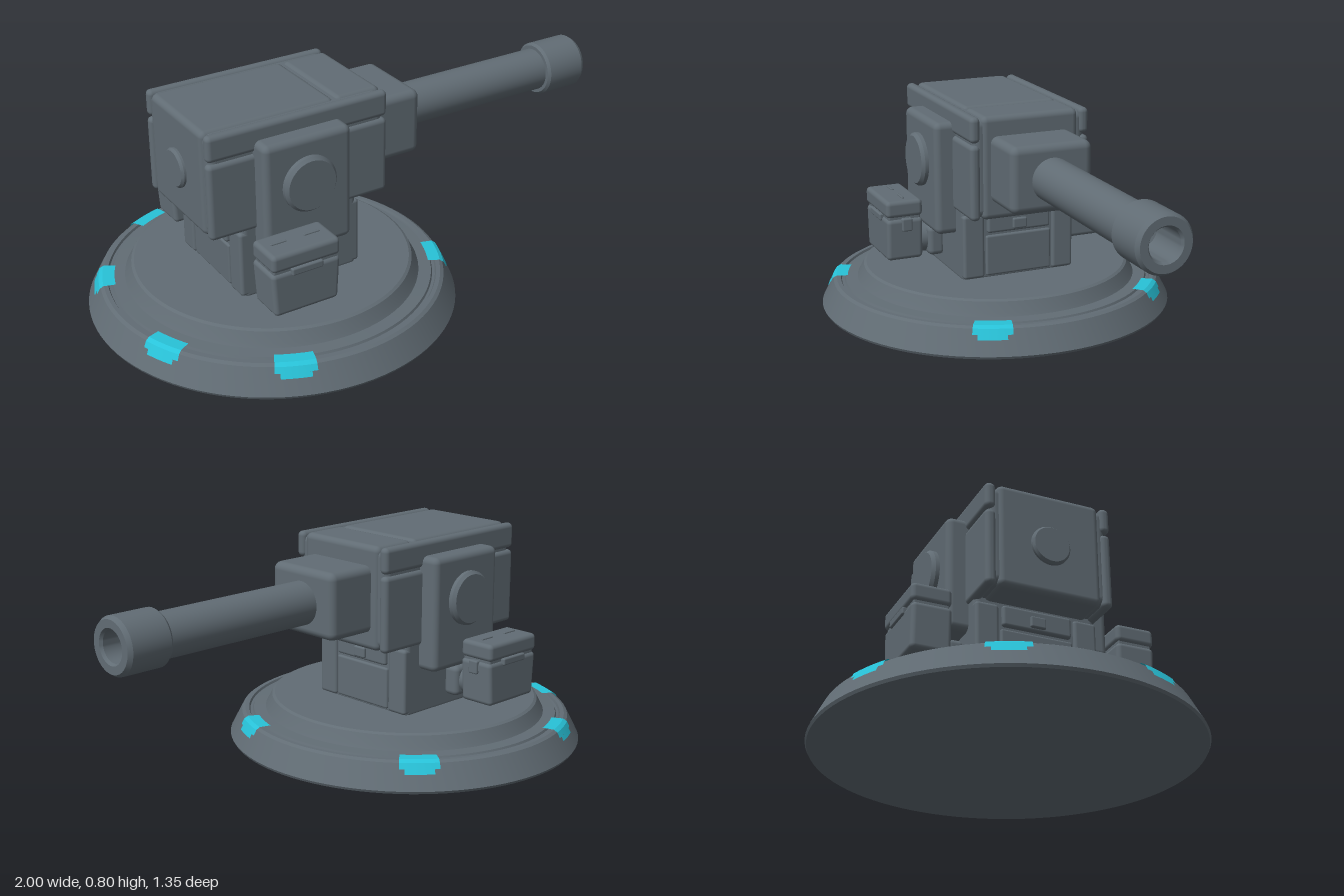
import * as THREE from 'three';
import { toCreasedNormals } from 'three/addons/utils/BufferGeometryUtils.js';
import { RoundedBoxGeometry } from 'three/addons/geometries/RoundedBoxGeometry.js';

export function createModel() {
  const root = new THREE.Group();
  root.name = 'turret';
  const steel = new THREE.MeshStandardMaterial({ color: 0x616c74 });
  steel.name = 'steel grey';
  const cyan = new THREE.MeshStandardMaterial({ color: 0x28c2d8 });
  cyan.name = 'cyan light';

  const add = (name, geo, mat = steel, parent = root) => {
    const mesh = new THREE.Mesh(geo, mat);
    mesh.name = name;
    parent.add(mesh);
    return mesh;
  };
  // Rounded box given by its extents on each axis
  const box = (name, [x0, x1], [y0, y1], [z0, z1], r = 0.02, parent = root) => {
    const geo = new RoundedBoxGeometry(x1 - x0, y1 - y0, z1 - z0, 3, r);
    geo.translate((x0 + x1) / 2, (y0 + y1) / 2, (z0 + z1) / 2);
    return add(name, geo, steel, parent);
  };
  const lathe = (pts, seg = 64, start = 0, len = Math.PI * 2) => toCreasedNormals(
    new THREE.LatheGeometry(pts.map(p => new THREE.Vector2(...p)), seg, start, len), 0.5);
  // Domed disc standing on y = 0
  const disc = (r, h) => lathe([[0, 0], [r, 0], [r, h * 0.6], [r * 0.9, h], [0, h]], 40);

  // Round stepped base
  const base = new THREE.Group();
  base.name = 'base';
  base.position.x = -0.34;
  base.scale.z = 1.02;
  root.add(base);
  add('basePlate', lathe([
    [0, 0], [0.655, 0], [0.66, 0.01], [0.615, 0.098], [0.603, 0.105], [0.588, 0.105],
    [0.584, 0.097], [0.574, 0.097], [0.57, 0.105], [0.525, 0.108], [0.518, 0.12],
    [0.5, 0.157], [0.49, 0.163], [0, 0.163],
  ], 96), steel, base);

  // Lights wrapped over the rim: wide band above, narrow tab below
  for (const deg of [23, 113, 156, 204, 247, 312]) {
    const phi = THREE.MathUtils.degToRad(90 - deg);
    const patch = (name, pts, width) => {
      const w = THREE.MathUtils.degToRad(width);
      add(name, lathe(pts, 8, phi - w / 2, w), cyan, base).material.side = THREE.DoubleSide;
    };
    patch('rimLight', [[0.629, 0.08], [0.619, 0.1], [0.605, 0.109], [0.562, 0.109]], 13);
    patch('rimLightTab', [[0.637, 0.064], [0.629, 0.08]], 9.5);
  }

  // Pedestal with end panels and brackets
  box('pedestal', [-0.57, -0.12], [0.15, 0.46], [-0.22, 0.22], 0.02);
  for (const s of [1, -1]) {
    const end = new THREE.Group();
    end.name = 'pedestalEnd';
    end.position.x = -0.345;
    end.rotation.y = s > 0 ? 0 : Math.PI;
    root.add(end);
    box('endPanel', [0.2, 0.234], [0.17, 0.325], [-0.13, 0.13], 0.008, end);
    box('endBracket', [0.2, 0.24], [0.335, 0.41], [-0.125, 0.125], 0.01, end);
    box('endLatch', [0.22, 0.25], [0.345, 0.385], [-0.028, 0.028], 0.006, end);
    for (const z of [-1, 1])
      box('endCorner', [0.19, 0.236], [0.165, 0.41], [z * 0.178 - 0.042, z * 0.178 + 0.042], 0.012, end);
  }

  // Turret body: inner core with panels separated by narrow seams
  box('bodyCore', [-0.682, -0.008], [0.428, 0.792], [-0.218, 0.218], 0.03);
  box('bodyRear', [-0.69, -0.183], [0.42, 0.8], [-0.187, 0.187], 0.022);
  box('bodyFront', [-0.179, 0], [0.42, 0.8], [-0.187, 0.187], 0.022);
  for (const s of [1, -1]) {
    const z = s > 0 ? [0.192, 0.23] : [-0.23, -0.192];
    box('sideUpperPanel', [-0.69, 0], [0.706, 0.8], z, 0.017);
    box('sideLowerPanel', [-0.69, 0], [0.42, 0.698], z, 0.017);
  }
  const rearCap = add('rearCap', disc(0.07, 0.022));
  rearCap.rotation.z = Math.PI / 2;
  rearCap.position.set(-0.685, 0.6, 0);

  // Gun mantlet, barrel and bored muzzle
  box('mantlet', [-0.05, 0.19], [0.485, 0.728], [-0.155, 0.155], 0.028);
  const gun = add('barrel', lathe([
    [0, 0.1], [0.079, 0.1], [0.079, 0.825], [0.092, 0.825], [0.1, 0.835], [0.1, 0.985],
    [0.09, 1], [0.062, 1], [0.055, 0.99], [0.055, 0.84], [0, 0.82],
  ], 48));
  gun.rotation.z = -Math.PI / 2;
  gun.position.y = 0.602;

  // Trunnion pods and ammunition boxes, one set for each side
  for (const s of [1, -1]) {
    const side = new THREE.Group();
    side.name = s > 0 ? 'frontSide' : 'backSide';
    root.add(side);
    const span = (a, b) => s > 0 ? [a, b] : [-b, -a];
    box('trunnionPod', [-0.52, -0.185], [0.325, 0.747], span(0.16, 0.296), 0.024, side);
    const hub = add('trunnionHub', disc(0.1, 0.03), steel, side);
    hub.rotation.x = s * Math.PI / 2;
    hub.position.set(-0.355, 0.58, s * 0.292);

    // Feed arm linking the pedestal to the box
    const arm = add('feedArm', new THREE.CylinderGeometry(0.055, 0.055, 0.14, 24), steel, side);
    arm.rotation.x = Math.PI / 2;
    arm.position.set(-0.4, 0.26, s * 0.26);
    box('feedCollar', [-0.47, -0.33], [0.2, 0.315], span(0.21, 0.275), 0.02, side);

    // Tapered box body
    const body = box('ammoBox', [-0.582, -0.32], [0.2, 0.362], span(0.3, 0.44), 0.016, side);
    const pos = body.geometry.attributes.position;
    for (let i = 0; i < pos.count; i++) {
      const k = 1 - 0.08 * (0.362 - pos.getY(i)) / 0.162;
      pos.setX(i, -0.451 + (pos.getX(i) + 0.451) * k);
    }
    box('ammoLid', [-0.58, -0.322], [0.368, 0.432], span(0.3, 0.442), 0.016, side);
    box('lidSeam', [-0.572, -0.33], [0.35, 0.38], span(0.308, 0.432), 0.006, side);
    box('lidLatch', [-0.51, -0.392], [0.345, 0.372], span(0.425, 0.448), 0.006, side);
    box('boxClasp', [-0.34, -0.312], [0.315, 0.365], span(0.345, 0.385), 0.006, side);
    for (const x of [-0.515, -0.39])
      box('lidRib', [x - 0.03, x + 0.03], [0.425, 0.437], span(0.36, 0.37), 0.003, side);
  }
  return root;
}
